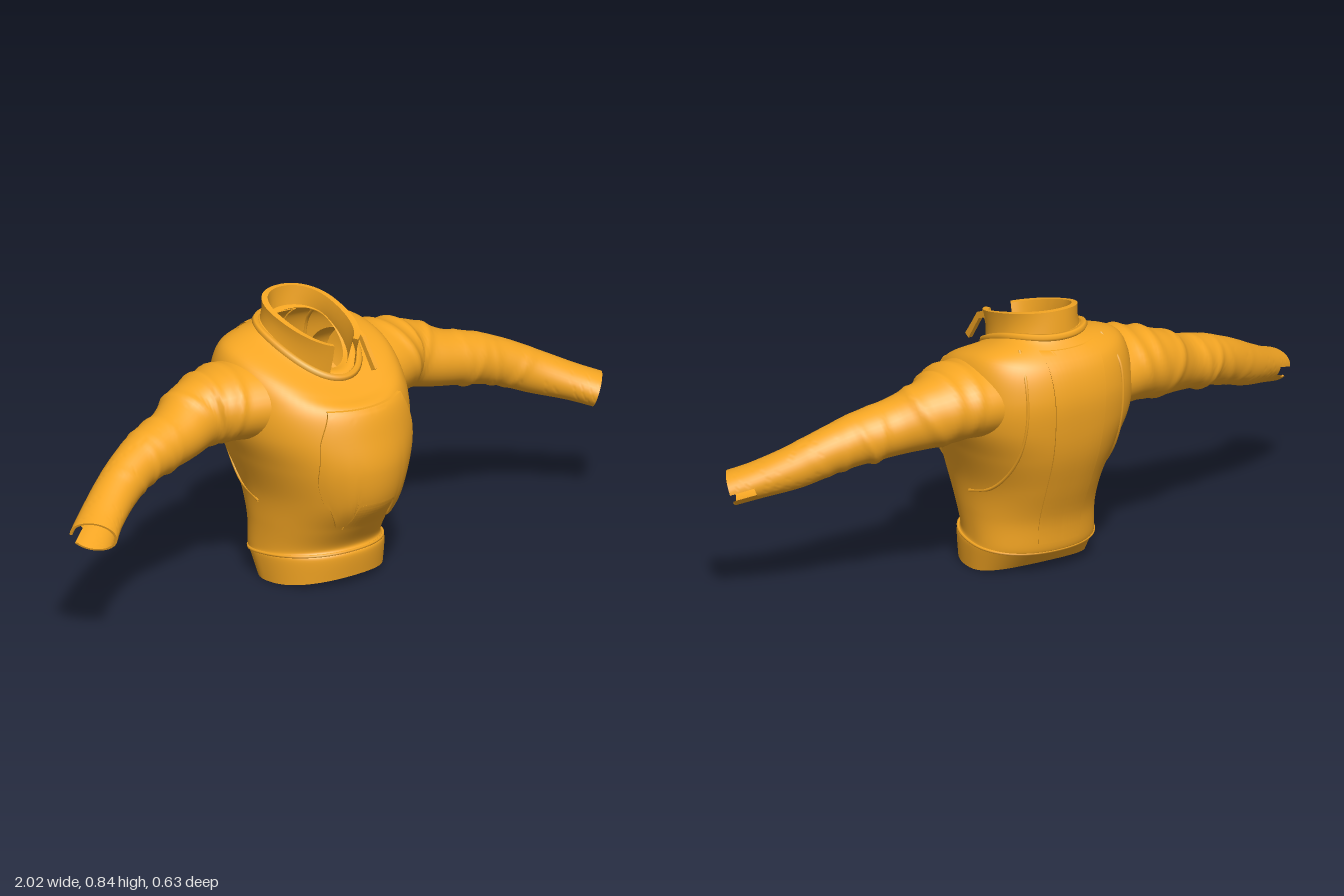
import * as THREE from 'three';
import { toCreasedNormals } from 'three/addons/utils/BufferGeometryUtils.js';

const cloth = new THREE.MeshStandardMaterial({ color: 0xf5a623, side: THREE.DoubleSide });
const V = (x, y, z) => new THREE.Vector3(x, y, z);

// Catmull-Rom blend between rows of numbers
function sample(keys, u) {
  const last = keys.length - 1;
  const i = Math.min(Math.floor(u), last - 1), f = u - i;
  const k = n => keys[Math.max(0, Math.min(last, n))];
  return keys[i].map((b, j) => {
    const a = k(i - 1)[j], c = k(i + 1)[j], d = k(i + 2)[j];
    return b + 0.5 * f * (c - a + f * (2 * a - 5 * b + 4 * c - d + f * (3 * (b - c) + d - a)));
  });
}

// Grid surface from point(row, col); closed joins the last column to the first
function grid(rows, cols, closed, point, skip = () => false) {
  const pos = [], idx = [], n = closed ? cols : cols + 1;
  for (let r = 0; r <= rows; r++)
    for (let c = 0; c < n; c++) pos.push(...point(r, c).toArray());
  for (let r = 0; r < rows; r++)
    for (let c = 0; c < cols; c++) {
      if (skip(r, c)) continue;
      const a = r * n + c, b = r * n + (c + 1) % n;
      idx.push(a, b, b + n, a, b + n, a + n);
    }
  const g = new THREE.BufferGeometry();
  g.setAttribute('position', new THREE.Float32BufferAttribute(pos, 3));
  g.setIndex(idx);
  g.computeVertexNormals();
  return g;
}

function add(parent, name, geometry) {
  const mesh = new THREE.Mesh(geometry, cloth);
  mesh.name = name;
  parent.add(mesh);
  return mesh;
}

// Torso sections: front y, back y, side lift, half width, front z, back z, squareness front, back
const torsoKeys = [
  [0.03, 0.025, -0.02, 0.197, 0.178, -0.125, 2.2, 2.2],
  [0.10, 0.07, 0, 0.205, 0.187, -0.168, 2.2, 2.2],
  [0.13, 0.085, 0, 0.20, 0.174, -0.183, 2.2, 2.2],
  [0.20, 0.18, 0, 0.203, 0.220, -0.197, 2.1, 2.2],
  [0.29, 0.29, 0, 0.214, 0.284, -0.240, 2.0, 2.3],
  [0.40, 0.40, 0, 0.250, 0.302, -0.280, 2.0, 2.4],
  [0.50, 0.50, 0, 0.285, 0.284, -0.299, 2.0, 2.5],
  [0.585, 0.60, 0.01, 0.285, 0.254, -0.304, 2.0, 2.5],
  [0.61, 0.69, 0.05, 0.250, 0.200, -0.280, 2.1, 2.4],
  [0.64, 0.75, 0.035, 0.150, 0.145, -0.225, 2.1, 2.2],
  [0.665, 0.78, 0.02, 0.115, 0.115, -0.195, 2.1, 2.1],
  [0.665, 0.775, 0.02, 0.092, 0.080, -0.160, 2.1, 2.1],
];

function section([yf, yb, ys, w, zf, zb, nf, nb], t) {
  const s = Math.sin(t), c = Math.cos(t), e = 2 / (c > 0 ? nf : nb);
  const zc = (zf + zb) / 2 - 0.03;
  const z = zc + Math.abs(c) ** e * (c > 0 ? zf - zc : zb - zc);
  const y = yb + (yf - yb) * (z - zb) / (zf - zb) + ys * s * s;
  return V(w * Math.sign(s) * Math.abs(s) ** e, y, z);
}
const torsoPoint = (t, v, lift = 0) => {
  const p = section(sample(torsoKeys, v), t);
  const out = V(p.x, 0, p.z + 0.05).normalize();
  return p.addScaledVector(out, lift);
};
// Torso point at a given x on the front or the back
function torsoAtX(x, v, back, lift) {
  const k = sample(torsoKeys, v);
  const s = Math.min(1, Math.abs(x) / k[3]) ** (k[back ? 7 : 6] / 2);
  const t = Math.asin(s) * Math.sign(x);
  return torsoPoint(back ? Math.PI - t : t, v, lift);
}

// Raised cloth panel with a stepped border
function panel(start, end, halfWidth, back, lift, rows = 30, cols = 32) {
  const step = (k, n) => Math.max(0, Math.min(1, (k - 1) / (n - 2)));
  return toCreasedNormals(grid(rows, cols, false, (r, c) => {
    const i = step(c, cols) * 2 - 1, a = start(Math.abs(i));
    const v = a + (end - a) * step(r, rows);
    const edge = r === 0 || c === 0 || r === rows || c === cols;
    return torsoAtX(i * halfWidth(v), v, back, edge ? -0.008 : lift);
  }), 0.7);
}

// Sleeve sections: centre x, y, z, vertical radius, horizontal radius
const sleeveKeys = [
  [0.18, 0.575, -0.065, 0.125, 0.18],
  [0.30, 0.577, -0.078, 0.113, 0.155],
  [0.40, 0.560, -0.085, 0.105, 0.112],
  [0.50, 0.532, -0.055, 0.088, 0.094],
  [0.60, 0.513, -0.035, 0.081, 0.086],
  [0.70, 0.484, -0.010, 0.073, 0.074],
  [0.80, 0.440, 0.030, 0.067, 0.070],
  [0.90, 0.400, 0.088, 0.056, 0.071],
  [0.962, 0.375, 0.132, 0.053, 0.075],
];
// Cloth folds: position along the sleeve, height, slant
const folds = [[1.25, 0.07, 0.3], [1.75, 0.07, 0.25], [2.2, 0.06, -0.2], [3.7, 0.06, 0.15],
  [4.1, 0.08, -0.15], [4.7, 0.06, 0.2], [5.5, 0.04, -0.2]];

function sleevePoint(u, a, scale) {
  const [x, y, z, rv, rh] = sample(sleeveKeys, u);
  const p = sample(sleeveKeys, Math.max(0, u - 0.3)), q = sample(sleeveKeys, Math.min(8, u + 0.3));
  const dir = V(q[0] - p[0], q[1] - p[1], q[2] - p[2]).normalize();
  const side = dir.clone().cross(V(0, 1, 0)).normalize();
  const up = side.clone().cross(dir);
  let r = scale;
  for (const [c, h, slant] of folds)
    r += h * Math.exp(-(((u - c + slant * Math.cos(a)) / 0.13) ** 2)) * (0.6 + 0.4 * Math.sin(a + c));
  return V(x, y, z).addScaledVector(up, rv * r * Math.cos(a)).addScaledVector(side, rh * r * Math.sin(a));
}

function sleeve() {
  const rows = 96, cols = 40, lining = 18;
  // the outer skin turns over the cuff edge and runs back inside as a lining
  return toCreasedNormals(grid(rows + lining, cols, true, (r, c) => {
    const u = r <= rows ? 8 * r / rows : 8 - 8 * (r - rows - 1) / rows;
    return sleevePoint(u, c / cols * Math.PI * 2, r <= rows ? 0.98 : 0.87);
  }, (r, c) => r > rows - 12 && r < rows + 13 && c >= 26 && c <= 29), 0.9);
}

// Standing collar, open at the front, with an inner face
function collar() {
  const base = [0.66, 0.772, 0.02, 0.122, 0.128, -0.205, 2.1, 2.1];
  const top = [0.757, 0.842, 0.005, 0.116, 0.150, -0.200, 2.2, 2.2];
  const inset = (k, d) => k.map((n, i) => (i === 3 || i === 4 ? n - d : i === 5 ? n + d : n));
  const mid = base.map((n, i) => (n + top[i]) / 2 - (i === 3 ? 0.006 : 0));
  const rings = [base, mid, top, inset(top, 0.018), inset(mid, 0.02), inset(base, 0.026), base];
  const gap = 0.36, cols = 56;
  return toCreasedNormals(grid(rings.length - 1, cols, false, (r, c) =>
    section(rings[r], gap + (Math.PI * 2 - gap * 2) * c / cols)), 0.8);
}

const seam = (points, radius, closed = false) =>
  new THREE.TubeGeometry(new THREE.CatmullRomCurve3(points, closed), 90, radius, 6, closed);

export function createModel() {
  const jacket = new THREE.Group();
  jacket.name = 'jacket';

  // Body
  add(jacket, 'torso', grid(110, 80, true, (r, c) => torsoPoint(c / 80 * Math.PI * 2, r / 10)));

  // Chest plate with a notched lower edge, belly panel below it, spine panel behind
  const notch = i => 4.08 - 0.83 * THREE.MathUtils.smoothstep(i, 0.42, 0.6)
    + 0.9 * THREE.MathUtils.smoothstep(i, 0.8, 1);
  const plateWidth = v => 0.125 + 0.045 * THREE.MathUtils.smoothstep(v, 3.3, 5)
    - 0.035 * THREE.MathUtils.smoothstep(v, 5.8, 7.2);
  add(jacket, 'chestPlate', panel(notch, 7.15, plateWidth, false, 0.012));
  add(jacket, 'bellyPanel', panel(() => 3.05, 4.05, () => 0.075, false, 0.006));
  add(jacket, 'spinePanel', panel(() => 2.3, 8.7, v => 0.06 + 0.004 * v, true, 0.007));

  // Hem band, collar roll and standing collar
  const around = (v, n = 32) => Array.from({ length: n }, (_, i) => torsoPoint(i / n * Math.PI * 2, v));
  add(jacket, 'hemSeam', seam(around(1.4), 0.005, true));
  add(jacket, 'collarRoll', seam(around(9.35), 0.012, true));
  add(jacket, 'collar', collar());

  // Bent closing strap on the left of the collar
  const strapShape = new THREE.Shape([
    [0.07, 0.745], [0.07, 0.765], [0.085, 0.772], [0.12, 0.757], [0.145, 0.722], [0.183, 0.672],
    [0.165, 0.662], [0.13, 0.712], [0.11, 0.74], [0.085, 0.75],
  ].map(([z, y]) => new THREE.Vector2(-z, y)));
  const strap = add(jacket, 'collarStrap',
    new THREE.ExtrudeGeometry(strapShape, { depth: 0.014, bevelEnabled: false }));
  strap.rotation.y = Math.PI / 2;
  strap.position.x = 0.074;

  // Sleeves and the seams around the shoulder blades
  const sleeveGeometry = sleeve();
  const bladeSeam = seam([[2.3, 8.6], [2.55, 7.6], [2.6, 6.5], [2.5, 5.4], [2.3, 4.6], [2.0, 4.0],
    [1.6, 3.7]].map(([t, v]) => torsoPoint(t, v)), 0.005);
  for (const [label, sign] of [['left', 1], ['right', -1]]) {
    const half = new THREE.Group();
    half.name = label + 'Arm';
    half.scale.x = sign;
    add(half, label + 'Sleeve', sleeveGeometry);
    add(half, label + 'BladeSeam', bladeSeam);
    jacket.add(half);
  }
  return jacket;
}
